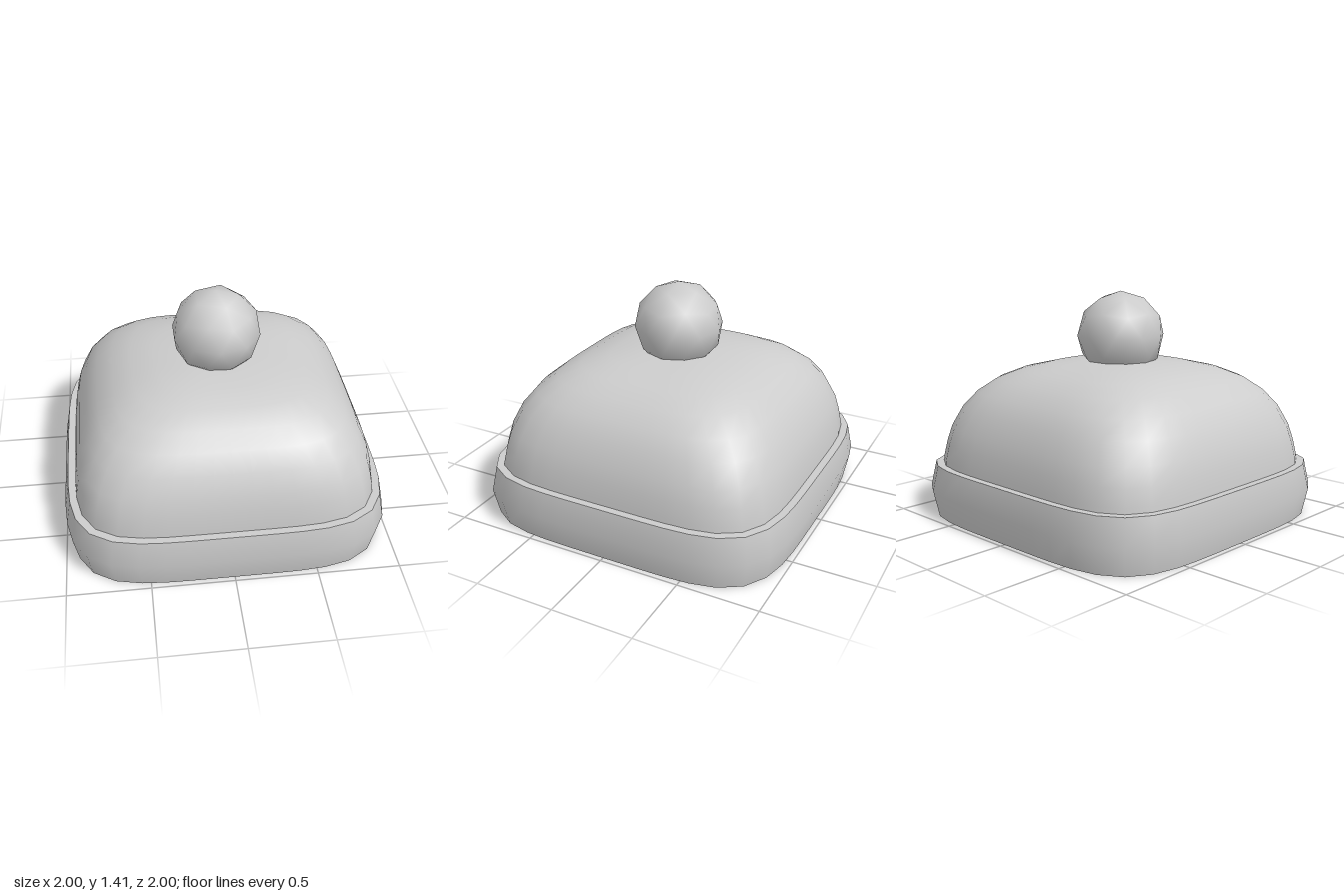
import * as THREE from 'three';

const SEGMENTS = 48;

// Stack of rounded-square rings, each [half width, height, squareness], listed from bottom to top
function loft(rings) {
  const pos = [], index = [];
  for (const [half, y, n] of rings) {
    for (let i = 0; i < SEGMENTS; i++) {
      const a = (i / SEGMENTS) * Math.PI * 2;
      const c = Math.cos(a), s = Math.sin(a);
      const r = half * Math.pow(Math.abs(c) ** n + Math.abs(s) ** n, -1 / n);
      pos.push(r * c, y, r * s);
    }
  }
  for (let k = 0; k < rings.length - 1; k++) {
    for (let i = 0; i < SEGMENTS; i++) {
      const j = (i + 1) % SEGMENTS;
      const a = k * SEGMENTS + i, b = k * SEGMENTS + j;
      index.push(a, a + SEGMENTS, b, b, a + SEGMENTS, b + SEGMENTS);
    }
  }
  const geometry = new THREE.BufferGeometry();
  geometry.setAttribute('position', new THREE.Float32BufferAttribute(pos, 3));
  geometry.setIndex(index);
  geometry.computeVertexNormals();
  return geometry;
}

export function createModel() {
  const grey = new THREE.MeshStandardMaterial({ color: 0xcccccc });
  grey.name = 'light grey';
  const model = new THREE.Group();
  model.name = 'bobbleHat';
  const add = (name, geometry, parent = model) => {
    const mesh = new THREE.Mesh(geometry, grey);
    mesh.name = name;
    parent.add(mesh);
    return mesh;
  };

  // Brim: bulging band with flat top and bottom, kept separate for sharp edges
  const brim = new THREE.Group();
  brim.name = 'brim';
  model.add(brim);
  const n = 4.8;
  add('brimBand', loft([[0.97, 0, n], [1, 0.165, n], [0.97, 0.327, n]]), brim);
  add('brimTop', loft([[0.97, 0.327, n], [0.85, 0.327, n]]), brim);
  add('brimUnderside', loft([[0, 0, n], [0.97, 0, n]]), brim);

  // Crown: soft dome, rounder in plan towards the top
  add('crown', loft([
    [0.93, 0.25, 5], [0.922, 0.36, 5], [0.905, 0.46, 4.9], [0.88, 0.56, 4.8],
    [0.825, 0.685, 4.6], [0.75, 0.785, 4.4], [0.65, 0.868, 4.1], [0.53, 0.925, 3.8],
    [0.38, 0.963, 3.4], [0.2, 0.98, 3], [0, 0.985, 2.5],
  ]));

  // Bobble: coarse smooth ball standing on one of its corners
  const ball = new THREE.IcosahedronGeometry(0.275, 1);
  ball.rotateZ(-Math.atan(2 / (1 + Math.sqrt(5))));
  add('bobble', ball).position.y = 1.135;

  return model;
}
